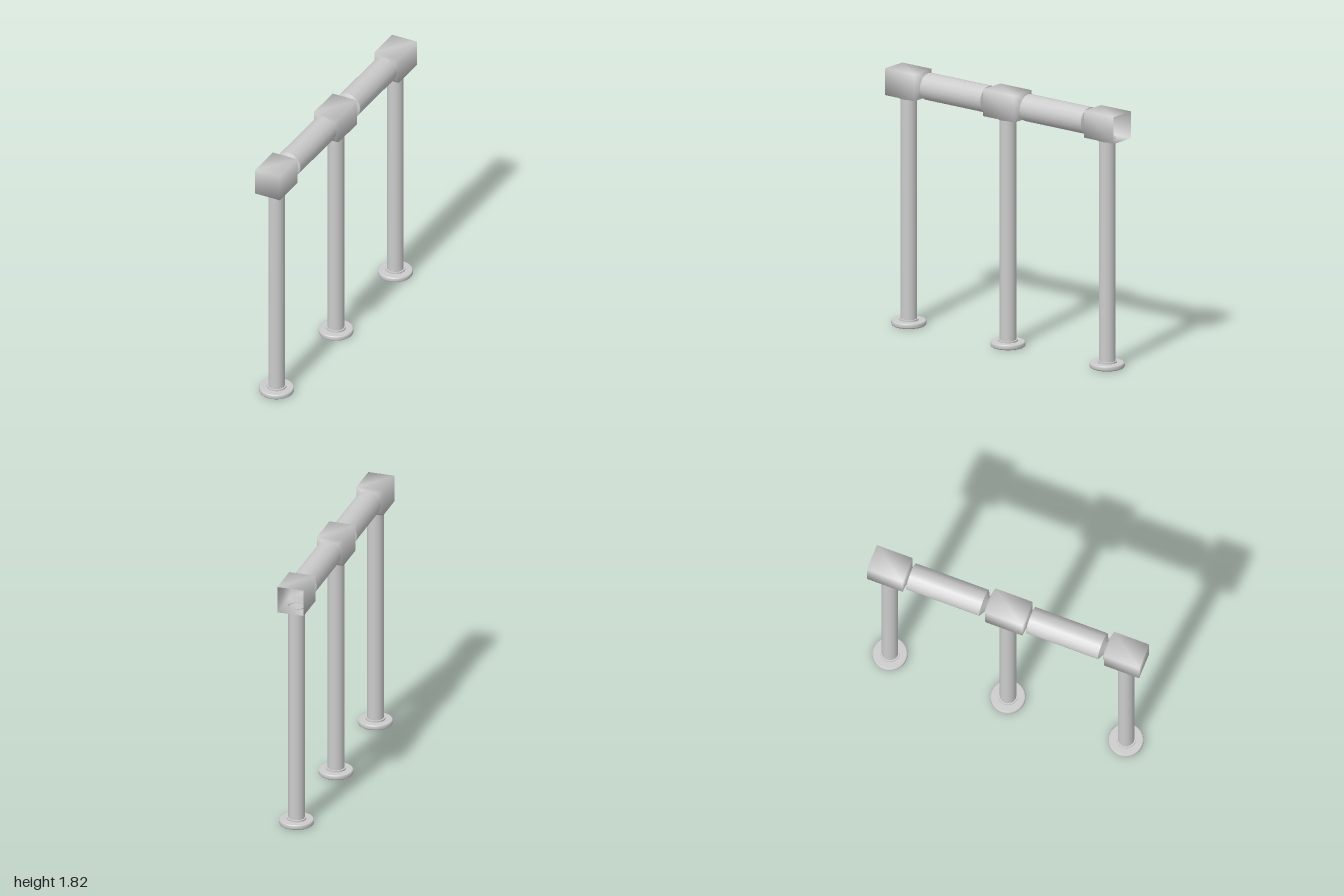
import * as THREE from 'three';
import { mergeVertices } from 'three/addons/utils/BufferGeometryUtils.js';

const HALF = 0.095, RAIL_Y = 1.725, NECK = 0.05, SIDES = 16;
const material = new THREE.MeshStandardMaterial({ color: 0xcccccc, side: THREE.DoubleSide });

function add(parent, name, geometry, x = 0, y = 0, z = 0) {
  const mesh = new THREE.Mesh(geometry, material);
  mesh.name = name;
  mesh.position.set(x, y, z);
  parent.add(mesh);
  return mesh;
}

// Hollow softly shaded block: sections along z are either square or a round neck
function blockGeometry(sections, capped) {
  const positions = [], index = [];
  for (const [z, round] of sections) {
    for (let i = 0; i < SIDES; i++) {
      const a = ((i + 0.5) / SIDES) * Math.PI * 2;
      const c = Math.cos(a), s = Math.sin(a);
      if (round) positions.push(c * NECK, s * NECK, z);
      else positions.push(Math.sign(c) * HALF, Math.sign(s) * HALF, z);
    }
  }
  for (let r = 0; r < sections.length - 1; r++) {
    for (let i = 0; i < SIDES; i++) {
      const j = (i + 1) % SIDES;
      const a = r * SIDES + i, b = r * SIDES + j;
      index.push(a, b, b + SIDES, a, b + SIDES, a + SIDES);
    }
  }
  if (capped) {
    const [p, q, r, s] = [0, 1, 2, 3].map(k => (sections.length - 1) * SIDES + k * SIDES / 4);
    index.push(p, q, r, p, r, s);
  }
  let g = new THREE.BufferGeometry();
  g.setAttribute('position', new THREE.Float32BufferAttribute(positions, 3));
  g.setIndex(index);
  g = mergeVertices(g, 1e-5);
  // Drop triangles that collapsed at the shared square corners
  const kept = [], ids = g.index.array;
  for (let i = 0; i < ids.length; i += 3) {
    const [a, b, c] = [ids[i], ids[i + 1], ids[i + 2]];
    if (a !== b && b !== c && c !== a) kept.push(a, b, c);
  }
  g.setIndex(kept);
  g.computeVertexNormals();
  return g;
}

// Round bar along z, from zMin to zMax
function bar(parent, name, zMin, zMax, rMin, rMax) {
  const g = new THREE.CylinderGeometry(rMax, rMin, zMax - zMin, SIDES, 1, true);
  g.rotateX(Math.PI / 2);
  add(parent, name, g, 0, RAIL_Y, (zMin + zMax) / 2);
}

// Post with a top collar and a rounded round foot
function createPost(z) {
  const post = new THREE.Group();
  post.name = 'post';
  post.position.z = z;
  add(post, 'postShaft', new THREE.CylinderGeometry(0.057, 0.057, 1.6, 24, 1, true), 0, 0.835, 0);
  add(post, 'topCollar', new THREE.CylinderGeometry(0.078, 0.072, 0.012, 24), 0, 1.623, 0);
  add(post, 'footCollar', new THREE.CylinderGeometry(0.068, 0.068, 0.014, 24), 0, 0.041, 0);
  const profile = [[0, 0], [0.112, 0], [0.118, 0.004], [0.121, 0.011], [0.121, 0.027],
    [0.118, 0.034], [0.112, 0.037], [0, 0.037]].map(([r, y]) => new THREE.Vector2(r, y));
  add(post, 'foot', new THREE.LatheGeometry(profile, 32));
  return post;
}

export function createModel() {
  const model = new THREE.Group();
  model.name = 'railing';

  for (const z of [-0.867, 0, 0.867]) model.add(createPost(z));

  // Joint blocks; the back one is open at its outer end
  const joints = [
    ['backJoint', [[-1, false], [-0.738, false], [-0.724, true]], false],
    ['middleJoint', [[-0.152, true], [-0.13, false], [0.143, false], [0.156, true]], false],
    ['frontJoint', [[0.72, true], [0.743, false], [1, false]], true],
  ];
  for (const [name, sections, capped] of joints) {
    add(model, name, blockGeometry(sections, capped), 0, RAIL_Y, 0);
  }

  // Rails, each tapering to the necks of the neighbouring joints
  const rails = [[-0.724, -0.711, -0.176, -0.152], [0.156, 0.168, 0.696, 0.72]];
  for (const [a, b, c, d] of rails) {
    const rail = new THREE.Group();
    rail.name = 'rail';
    bar(rail, 'railBackTaper', a, b, NECK, HALF);
    bar(rail, 'railBody', b, c, HALF, HALF);
    bar(rail, 'railFrontTaper', c, d, HALF, NECK);
    model.add(rail);
  }
  return model;
}
